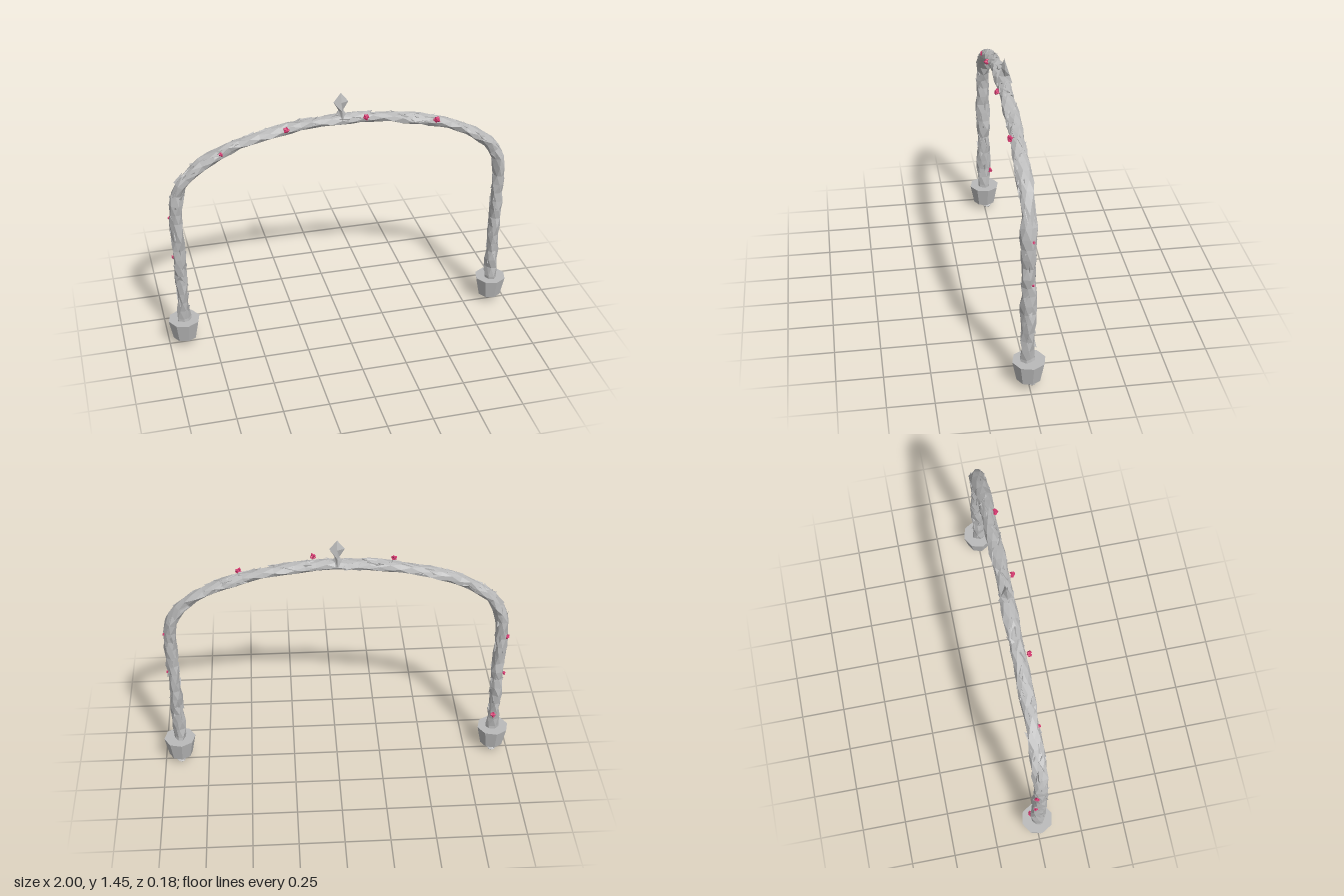
import * as THREE from 'three';
import { mergeGeometries } from 'three/addons/utils/BufferGeometryUtils.js';

const stone = new THREE.MeshStandardMaterial({ color: 0xbababa });
stone.name = 'grey';
const rose = new THREE.MeshStandardMaterial({ color: 0xd83a72 });
rose.name = 'rose red';

// Small seeded generator returning -1..1
let seed = 7;
const rnd = () => {
  seed = (seed * 16807) % 2147483647;
  return (seed / 2147483647) * 2 - 1;
};

// Faceted copy with one normal per face
function facet(geo) {
  const g = geo.index ? geo.toNonIndexed() : geo;
  g.deleteAttribute('uv');
  g.computeVertexNormals();
  return g;
}

function add(parent, name, geo, mat, x = 0, y = 0, z = 0) {
  const m = new THREE.Mesh(geo, mat);
  m.name = name;
  m.position.set(x, y, z);
  parent.add(m);
  return m;
}

// Centre line of the arch, mirrored about x = 0
const half = [[-0.91, 0.12], [-0.91, 0.5], [-0.915, 0.86], [-0.9, 0.97], [-0.845, 1.06],
  [-0.75, 1.135], [-0.6, 1.207], [-0.4, 1.262], [-0.2, 1.295]];
const outline = [...half, [0, 1.306], ...half.map(([x, y]) => [-x, y]).reverse()];
const path = new THREE.CatmullRomCurve3(outline.map(([x, y]) => new THREE.Vector3(x, y, 0.005)));

// Position, tangent and outward normal at t, and how upright the path is there
function frame(t) {
  const p = path.getPointAt(t), T = path.getTangentAt(t);
  return { p, T, N: new THREE.Vector3(-T.y, T.x, 0), upright: Math.abs(T.y) };
}

// Point on the trunk: angle 0 faces outward, PI / 2 faces +z
function around(f, a, r) {
  const thin = 0.74 + 0.22 * f.upright;
  return f.p.clone().addScaledVector(f.N, Math.cos(a) * r * thin)
    .add(new THREE.Vector3(0, 0, Math.sin(a) * r * 1.1));
}

// Gnarled trunk with two twisted ridges and coarse facets
function trunkGeometry() {
  const rings = 66, sides = 7, pos = [], idx = [];
  for (let i = 0; i <= rings; i++) {
    const f = frame(i / rings);
    for (let j = 0; j < sides; j++) {
      const a = ((j + (i % 2) / 2) / sides) * Math.PI * 2 + rnd() * 0.15;
      const r = 0.036 + 0.004 * Math.cos(2 * a - i * 0.9) + 0.007 * rnd() * (0.4 + 0.6 * f.upright);
      pos.push(...around(f, a, r).toArray());
    }
  }
  for (let i = 0; i < rings; i++) {
    for (let j = 0; j < sides; j++) {
      const k = (j + 1) % sides;
      const a = i * sides + j, b = i * sides + k, c = a + sides, d = b + sides;
      // Staggered rings need alternating diagonals
      if (i % 2) idx.push(a, b, d, a, d, c);
      else idx.push(a, b, c, b, d, c);
    }
  }
  const g = new THREE.BufferGeometry();
  g.setAttribute('position', new THREE.Float32BufferAttribute(pos, 3));
  g.setIndex(idx);
  return facet(g);
}

// Broad jagged leaves lying along the trunk
function leavesGeometry() {
  const list = [], up = new THREE.Vector3(0, 1, 0), count = 170;
  for (let i = 0; i < count; i++) {
    const f = frame(0.025 + 0.95 * (i + 0.5) / count);
    // All round the legs, only outer and side faces along the top
    const a = f.upright > 0.8 ? i * 2.4 : rnd() * 1.8 - 0.2;
    const p = around(f, a, 0.025);
    const out = p.clone().sub(f.p).normalize();
    const dir = f.T.clone().multiplyScalar(i % 3 ? 1 : -1).addScaledVector(out, 0.55 + 0.25 * rnd());
    const g = new THREE.ConeGeometry(0.024 + 0.004 * rnd(), 0.06 + 0.01 * rnd(), 3);
    g.rotateY(i);
    g.applyQuaternion(new THREE.Quaternion().setFromUnitVectors(up, dir.normalize()));
    g.translate(p.x, p.y, p.z);
    list.push(facet(g));
  }
  return mergeGeometries(list);
}

// Plump little rose: five petals around a bud, facing +z
function flowerGeometry() {
  const parts = [new THREE.IcosahedronGeometry(0.012, 0)];
  for (let k = 0; k < 5; k++) {
    const petal = new THREE.OctahedronGeometry(0.012, 0);
    petal.scale(0.9, 0.9, 1.1);
    petal.rotateX(0.5);
    petal.translate(0, 0.01, k % 2 ? 0.004 : -0.004);
    petal.rotateZ(k * Math.PI * 0.4);
    parts.push(petal);
  }
  return mergeGeometries(parts.map(facet));
}

// Thin diamond finial on a flared base, tapering evenly to the tip in depth
function finialGeometry() {
  const profile = [[0.038, 1.31], [0.013, 1.355], [0.041, 1.402], [0, 1.455]];
  const g = new THREE.LatheGeometry(profile.map(([r, y]) => new THREE.Vector2(r, y)), 4, Math.PI / 2);
  const p = g.attributes.position;
  for (let i = 0; i < p.count; i++) {
    const z = p.getZ(i);
    if (Math.abs(z) > 1e-5) p.setZ(i, Math.sign(z) * 0.3 * (1.455 - p.getY(i)));
  }
  return facet(g);
}

export function createModel() {
  seed = 7;
  const model = new THREE.Group();
  model.name = 'gardenArch';
  add(model, 'trunk', trunkGeometry(), stone);
  add(model, 'leaves', leavesGeometry(), stone);
  add(model, 'finial', finialGeometry(), stone);

  // Pots with small coiled feet
  const potGeo = facet(new THREE.CylinderGeometry(0.09, 0.067, 0.115, 8).rotateY(0.15));
  const coil = facet(new THREE.TorusGeometry(0.019, 0.005, 4, 8).rotateX(Math.PI / 2));
  const stem = facet(new THREE.CylinderGeometry(0.012, 0.01, 0.045, 6));
  for (const side of [-1, 1]) {
    const planter = new THREE.Group();
    planter.name = side < 0 ? 'rightPlanter' : 'leftPlanter';
    planter.position.x = side * 0.911;
    add(planter, 'pot', potGeo, stone, 0, 0.1025, 0);
    add(planter, 'footStem', stem, stone, 0, 0.03, -0.014);
    const lower = add(planter, 'lowerCoil', coil, stone, 0, 0.007, -0.016);
    lower.rotation.z = 0.08;
    const upper = add(planter, 'upperCoil', coil, stone, 0, 0.021, -0.016);
    upper.scale.set(1.2, 1, 1.2);
    upper.rotation.z = -0.1;
    model.add(planter);
  }

  // Roses: position, turn about y, size
  const flower = flowerGeometry();
  const roses = [[-0.66, 1.19, 0.038, 0, 0.7], [-0.31, 1.3, 0.058, 0, 0.9],
    [0.125, 1.325, 0.058, 0, 0.9], [0.525, 1.255, 0.045, 0, 1],
    [-0.947, 0.81, -0.02, -2, 0.75], [-0.945, 0.56, -0.022, -2, 0.6],
    [-0.9, 0.27, -0.038, 2.9, 0.9], [-0.88, 0.046, 0.03, 0.6, 0.8],
    [0.948, 0.9, -0.012, 1.7, 0.4], [0.946, 0.645, -0.012, 1.7, 0.4]];
  roses.forEach(([x, y, z, turn, size], i) => {
    const m = add(model, 'rose', flower, rose, x, y, z);
    m.rotation.set(0, turn, i);
    m.scale.setScalar(size);
  });
  return model;
}
